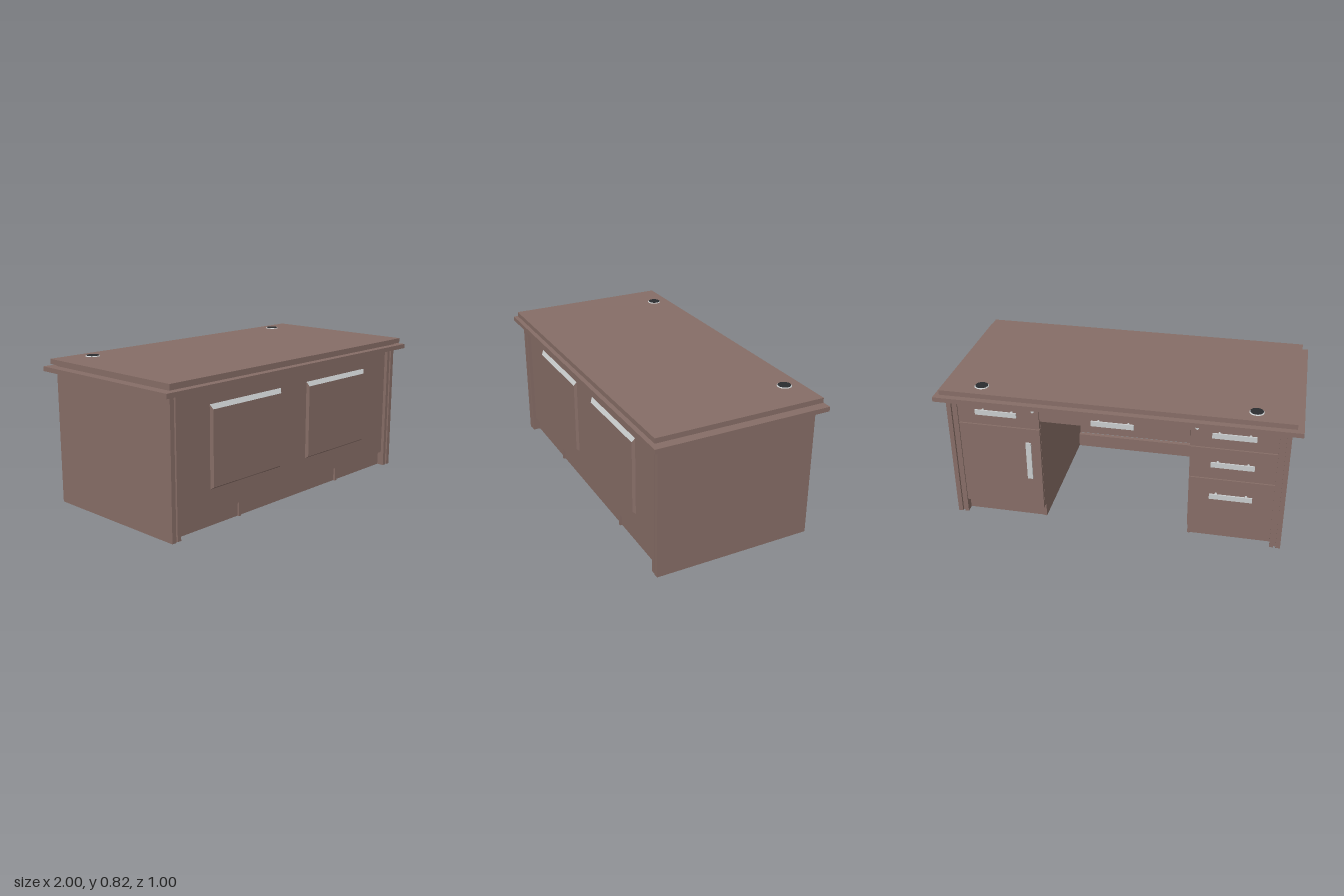
import * as THREE from 'three';

const material = (name, color) => {
  const m = new THREE.MeshStandardMaterial({ color });
  m.name = name;
  return m;
};

export function createModel() {
  const wood = material('brownWood', 0x866d66);
  const metal = material('paleMetal', 0xc9cccd);
  const dark = material('darkPlastic', 0x2a2c2f);
  const desk = new THREE.Group();
  desk.name = 'executiveDesk';

  const add = (parent, name, geometry, mat) => {
    const mesh = new THREE.Mesh(geometry, mat);
    mesh.name = name;
    parent.add(mesh);
    return mesh;
  };
  // Box given by its limits on each axis
  const box = (name, x0, x1, y0, y1, z0, z1, mat = wood, parent = desk) => {
    const mesh = add(parent, name, new THREE.BoxGeometry(Math.abs(x1 - x0), y1 - y0, z1 - z0), mat);
    mesh.position.set((x0 + x1) / 2, (y0 + y1) / 2, (z0 + z1) / 2);
    return mesh;
  };

  // Stepped top
  box('topLowerSlab', -1, 1, 0.753, 0.779, -0.5, 0.5);
  box('topNeck', -0.945, 0.945, 0.779, 0.79, -0.457, 0.457);
  box('topUpperSlab', -0.965, 0.965, 0.79, 0.818, -0.483, 0.483);

  // Front panel between the corner stiles, and the recessed baseboard
  box('modestyPanel', -0.9, 0.9, 0.085, 0.753, 0.415, 0.435);
  box('frontBaseboard', -0.9, 0.9, 0, 0.085, 0.385, 0.412);

  // Raised panel: box whose front face is inset to form sloping edges
  const raisedPanel = () => {
    const w = 0.545, h = 0.45, d = 0.014;
    const geometry = new THREE.BoxGeometry(w, h, d);
    const p = geometry.attributes.position;
    for (let i = 0; i < p.count; i++) {
      if (p.getZ(i) < 0) continue;
      p.setX(i, p.getX(i) - Math.sign(p.getX(i)) * 0.012);
      p.setY(i, p.getY(i) - (p.getY(i) > 0 ? 0.026 : -0.01));
    }
    geometry.computeVertexNormals();
    return geometry;
  };

  // Bar pull on two posts, lying along x and facing -z
  const pull = (name, x, y, vertical = false) => {
    const g = new THREE.Group();
    g.name = name;
    box('pullBar', -0.117, 0.117, -0.015, 0.015, -0.487, -0.479, metal, g);
    for (const s of [-1, 1]) {
      const post = add(g, 'pullPost', new THREE.CylinderGeometry(0.007, 0.007, 0.045, 12), metal);
      post.rotation.x = Math.PI / 2;
      post.position.set(s * 0.082, 0, -0.459);
    }
    if (vertical) g.rotation.z = Math.PI / 2;
    g.position.set(x, y, 0);
    desk.add(g);
  };

  for (const s of [-1, 1]) {
    // Side panel with grooved corner stiles
    box('sidePanel', s * 0.917, s * 0.943, 0, 0.753, -0.457, 0.457);
    for (const e of [-1, 1]) {
      const span = (a, b) => (e > 0 ? [a, b] : [-b, -a]);
      box('cornerStile', s * 0.882, s * 0.905, 0, 0.753, ...span(0.41, 0.455));
      box('stileGroove', s * 0.905, s * 0.917, 0, 0.753, ...span(0.41, 0.443));
    }

    // Pedestal carcass, inner side and recessed kick board
    box('pedestalCarcass', s * 0.43, s * 0.917, 0.07, 0.753, -0.434, 0.415);
    box('pedestalInnerSide', s * 0.415, s * 0.43, 0.085, 0.753, -0.434, 0.425);
    box('pedestalInnerFoot', s * 0.415, s * 0.43, 0, 0.085, -0.41, 0.425);
    box('kickBoard', s * 0.43, s * 0.917, 0, 0.07, -0.405, -0.385);

    // Raised front panel with a pale top edge
    add(desk, 'raisedPanel', raisedPanel(), [wood, wood, metal, wood, wood, wood])
      .position.set(s * 0.383, 0.435, 0.442);

    // Drawer fronts, or a drawer over a door
    const splits = s < 0 ? [0.085, 0.415, 0.61, 0.75] : [0.085, 0.61, 0.75];
    for (let i = 0; i + 1 < splits.length; i++) {
      const name = s > 0 && i === 0 ? 'doorFront' : 'drawerFront';
      box(name, s * 0.416, s * 0.88, splits[i] + 0.003, splits[i + 1] - 0.003, -0.452, -0.434);
    }
    pull('topDrawerPull', s * 0.65, 0.705);

    // Lock
    const lock = add(desk, 'lock', new THREE.CylinderGeometry(0.009, 0.009, 0.008, 16), metal);
    lock.rotation.x = Math.PI / 2;
    lock.position.set(s * 0.45, 0.725, -0.454);

    // Cable grommet: pale rim with a dark cap
    const rim = add(desk, 'grommetRim', new THREE.CylinderGeometry(0.036, 0.04, 0.004, 24), metal);
    rim.position.set(s * 0.75, 0.82, -0.39);
    const cap = add(desk, 'grommetCap', new THREE.CylinderGeometry(0.035, 0.035, 0.002, 24), dark);
    cap.position.set(s * 0.75, 0.8225, -0.39);
  }

  // Remaining pulls
  pull('middleDrawerPull', -0.65, 0.525);
  pull('bottomDrawerPull', -0.65, 0.32);
  pull('doorPull', 0.475, 0.4215, true);
  pull('centreDrawerPull', 0, 0.705);

  // Centre drawer over the kneehole
  box('centreDrawerFront', -0.413, 0.413, 0.665, 0.75, -0.452, -0.434);
  box('centreDrawerBox', -0.405, 0.405, 0.68, 0.753, -0.434, 0.12);

  return desk;
}
